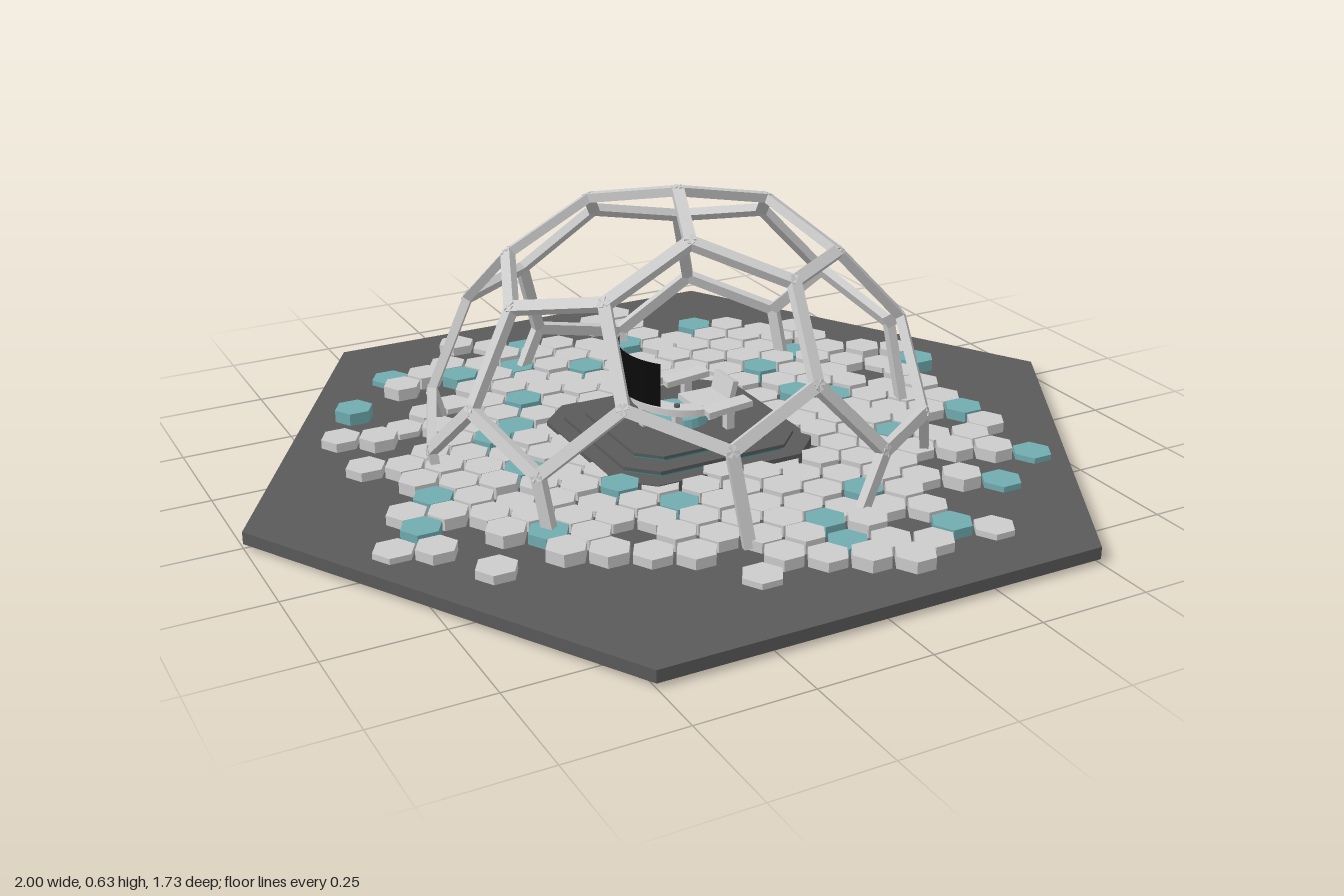
import * as THREE from 'three';

const mat = (color, extra = {}) => new THREE.MeshStandardMaterial({ color, ...extra });
const GREY = mat(0xcccccc, { flatShading: true });
const DARK = mat(0x5a5a5a, { flatShading: true });
const TEAL = mat(0x70acb0, { flatShading: true });
const GLOW = mat(0x209aa0, { flatShading: true });
const BLACK = mat(0x0a0a0a, { side: THREE.DoubleSide });

function add(parent, name, geometry, material, x = 0, y = 0, z = 0) {
  const mesh = new THREE.Mesh(geometry, material);
  mesh.name = name;
  mesh.position.set(x, y, z);
  parent.add(mesh);
  return mesh;
}

function group(parent, name) {
  const g = new THREE.Group();
  g.name = name;
  parent.add(g);
  return g;
}

// Hexagonal prism with corners on the x axis, standing on y = 0
const hexPrism = (r, h) => new THREE.CylinderGeometry(r, r, h, 6).rotateY(Math.PI / 6).translate(0, h / 2, 0);

// Extrude a plan outline upwards from y = 0
const extrudeUp = (shape, h) =>
  new THREE.ExtrudeGeometry(shape, { depth: h, bevelEnabled: false, curveSegments: 20 }).rotateX(-Math.PI / 2);

// Hexagonal floor tiles on a staggered grid
function buildTiles(root) {
  const tiles = group(root, 'floorTiles');
  // First and last row of each column, from column -10 to column 10
  const spans = [[3, 3], [1, 3], [-3, 2], [-4, 3], [-4, 5], [-5, 5], [-7, 6], [-7, 6], [-8, 6], [-8, 7], [-7, 8],
    [-7, 8], [-8, 9], [-7, 8], [-6, 7], [-7, 6], [-6, 6], [-6, 4], [-5, 5], [-3, 3], [-2, -1]];
  const strays = ['-9,-4', '-9,-2', '-8,-5', '-8,5', '-6,-7', '-6,-6', '-5,-7', '-3,-9', '-2,8', '3,-9', '3,-8',
    '4,8', '5,8', '7,6', '9,5'];
  const gaps = ['-8,-2', '-7,-3', '-5,-4', '2,-7', '6,5', '8,3', '8,-1', '-4,5', '3,7', '5,6'];
  const teal = ['-1,-8', '-6,-7', '-8,-5', '-4,-6', '-2,-6', '5,-7', '2,-6', '0,-5', '7,-4', '5,-3', '-4,-2', '-3,-4',
    '-5,-2', '10,-1', '6,0', '5,-1', '-8,1', '-9,2', '9,2', '9,5', '7,6', '4,8', '1,6', '1,7', '6,3', '-2,4', '-6,4',
    '-3,2', '3,5', '-5,0'];
  const geometry = hexPrism(0.045, 0.05);
  let seed = 7;
  const random = () => (seed = (seed * 16807) % 2147483647) / 2147483647;
  const place = (key) => {
    const [i, m] = key.split(',').map(Number);
    const x = -0.018 + 0.0742 * i;
    const z = 0.0857 * m + (i % 2 ? 0.0214 : -0.0214);
    if (gaps.includes(key) || (Math.abs(x) < 0.22 && Math.abs(z) < 0.22)) return;
    const lift = random() < 0.1 ? 0 : 0.006 + 0.01 * random();
    add(tiles, 'tile', geometry, teal.includes(key) ? TEAL : GREY, x, lift, z);
  };
  spans.forEach(([from, to], c) => {
    for (let m = from; m <= to; m++) place(`${c - 10},${m}`);
  });
  strays.forEach(place);
}

// Dome of beams along the edges of a truncated icosahedron, one corner at the top
function buildDome(root) {
  const dome = group(root, 'dome');
  const R = 0.565, centre = 0.055, floor = 0.045, phi = (1 + Math.sqrt(5)) / 2;
  const points = [];
  for (const [a, b, c] of [[0, 1, 3 * phi], [1, 2 + phi, 2 * phi], [phi, 2, 2 * phi + 1]])
    for (let s = 0; s < 8; s++) {
      if (a === 0 && s & 1) continue;
      const p = [s & 1 ? -a : a, s & 2 ? -b : b, s & 4 ? -c : c];
      for (let k = 0; k < 3; k++) points.push(new THREE.Vector3(p[k], p[(k + 1) % 3], p[(k + 2) % 3]));
    }
  const joined = (p, q) => Math.abs(p.distanceTo(q) - 2) < 0.01;

  // Turn the solid: top corner up, one pentagon edge along +x, the other towards +z
  const top = points[0];
  const near = points.filter((p) => joined(p, top));
  let e1, e3;
  for (const p of near) for (const q of near)
    if (Math.abs(p.distanceTo(q) - 2 * phi) < 0.05 && p.clone().cross(q).dot(top) < 0) [e1, e3] = [p, q];
  const Y = top.clone().normalize();
  const X = e1.clone().addScaledVector(Y, -e1.dot(Y)).normalize();
  const Z = X.clone().cross(Y);
  const nodes = points.map((p) =>
    new THREE.Vector3(p.dot(X), p.dot(Y), p.dot(Z)).setLength(R).add(new THREE.Vector3(0, centre, 0)));

  for (let i = 0; i < points.length; i++)
    for (let j = i + 1; j < points.length; j++) {
      if (!joined(points[i], points[j])) continue;
      let [a, b] = nodes[i].y > nodes[j].y ? [nodes[i], nodes[j]] : [nodes[j], nodes[i]];
      if (a.y < floor + 0.01) continue;
      if (b.y < floor) b = a.clone().lerp(b, (a.y - floor) / (a.y - b.y));
      const along = b.clone().sub(a);
      const length = along.length();
      along.normalize();
      const mid = a.clone().add(b).multiplyScalar(0.5);
      const out = mid.clone().sub(new THREE.Vector3(0, centre, 0));
      out.addScaledVector(along, -out.dot(along)).normalize();
      const side = out.clone().cross(along);
      const beam = add(dome, 'beam', new THREE.BoxGeometry(0.026, 0.02, length + 0.008), GREY);
      beam.quaternion.setFromRotationMatrix(new THREE.Matrix4().makeBasis(side, out, along));
      beam.position.copy(mid);
    }
}

// Stepped platform with chamfered corners and glowing seams
function buildPlatform(root) {
  const platform = group(root, 'platform');
  const step = (name, half, y0, y1, material) => {
    const c = half * 0.28, h = half;
    const outline = [[h, h - c], [h - c, h], [c - h, h], [-h, h - c], [-h, c - h], [c - h, -h], [h - c, -h], [h, c - h]];
    const shape = new THREE.Shape(outline.map(([x, y]) => new THREE.Vector2(x, y)));
    add(platform, name, extrudeUp(shape, y1 - y0), material, 0, y0, 0);
  };
  step('lowerStep', 0.245, 0.03, 0.06, DARK);
  step('lowerSeam', 0.205, 0.06, 0.066, GLOW);
  step('middleStep', 0.212, 0.066, 0.074, DARK);
  step('upperSeam', 0.165, 0.074, 0.08, GLOW);
  step('upperStep', 0.172, 0.08, 0.087, DARK);
}

// Control seat with a curved desk and a curved screen
function buildStation(root) {
  const station = group(root, 'controlStation');
  add(station, 'seatDisc', new THREE.CylinderGeometry(0.065, 0.07, 0.02, 24), TEAL, 0, 0.097, 0);
  add(station, 'pedestal', new THREE.CylinderGeometry(0.03, 0.045, 0.035, 16), GREY, 0.06, 0.104, 0);
  add(station, 'seat', new THREE.BoxGeometry(0.09, 0.014, 0.09), GREY, 0.07, 0.118, 0);
  add(station, 'backrest', new THREE.BoxGeometry(0.014, 0.05, 0.085), GREY, 0.12, 0.142, 0).rotation.z = -0.25;
  for (const s of [-1, 1]) {
    add(station, 'armrest', new THREE.BoxGeometry(0.11, 0.014, 0.042), GREY, 0.07, 0.138, 0.1 * s).rotation.z = 0.08;
    add(station, 'armPost', new THREE.BoxGeometry(0.02, 0.05, 0.02), GREY, 0.075, 0.11, 0.1 * s);
  }

  // Curved desk on the -x side
  const desk = new THREE.Shape();
  desk.absarc(0, 0, 0.125, Math.PI * 0.55, Math.PI * 1.45, false);
  desk.absarc(0, 0, 0.085, Math.PI * 1.45, Math.PI * 0.55, true);
  add(station, 'desk', extrudeUp(desk, 0.016), GREY, 0.02, 0.138, 0);
  for (let k = -2; k <= 2; k++) {
    const a = Math.PI + k * 0.45;
    add(station, 'deskButton', new THREE.CylinderGeometry(0.007, 0.007, 0.006, 8), DARK,
      0.02 + 0.105 * Math.cos(a), 0.157, 0.105 * Math.sin(a));
    if (k % 2 === 0) add(station, 'deskLeg', new THREE.BoxGeometry(0.018, 0.055, 0.018), GREY,
      0.02 + 0.105 * Math.cos(a), 0.112, 0.105 * Math.sin(a));
  }

  const half = Math.asin(0.1 / 0.16);
  add(station, 'screen', new THREE.CylinderGeometry(0.16, 0.16, 0.1, 20, 1, true, Math.PI * 1.5 - half, 2 * half),
    BLACK, 0.03, 0.22, 0);
}

export function createModel() {
  const root = new THREE.Group();
  root.name = 'domeStation';
  add(root, 'basePlate', hexPrism(1, 0.027), DARK, 0, 0.01, 0);
  buildTiles(root);
  buildPlatform(root);
  buildStation(root);
  buildDome(root);
  return root;
}
